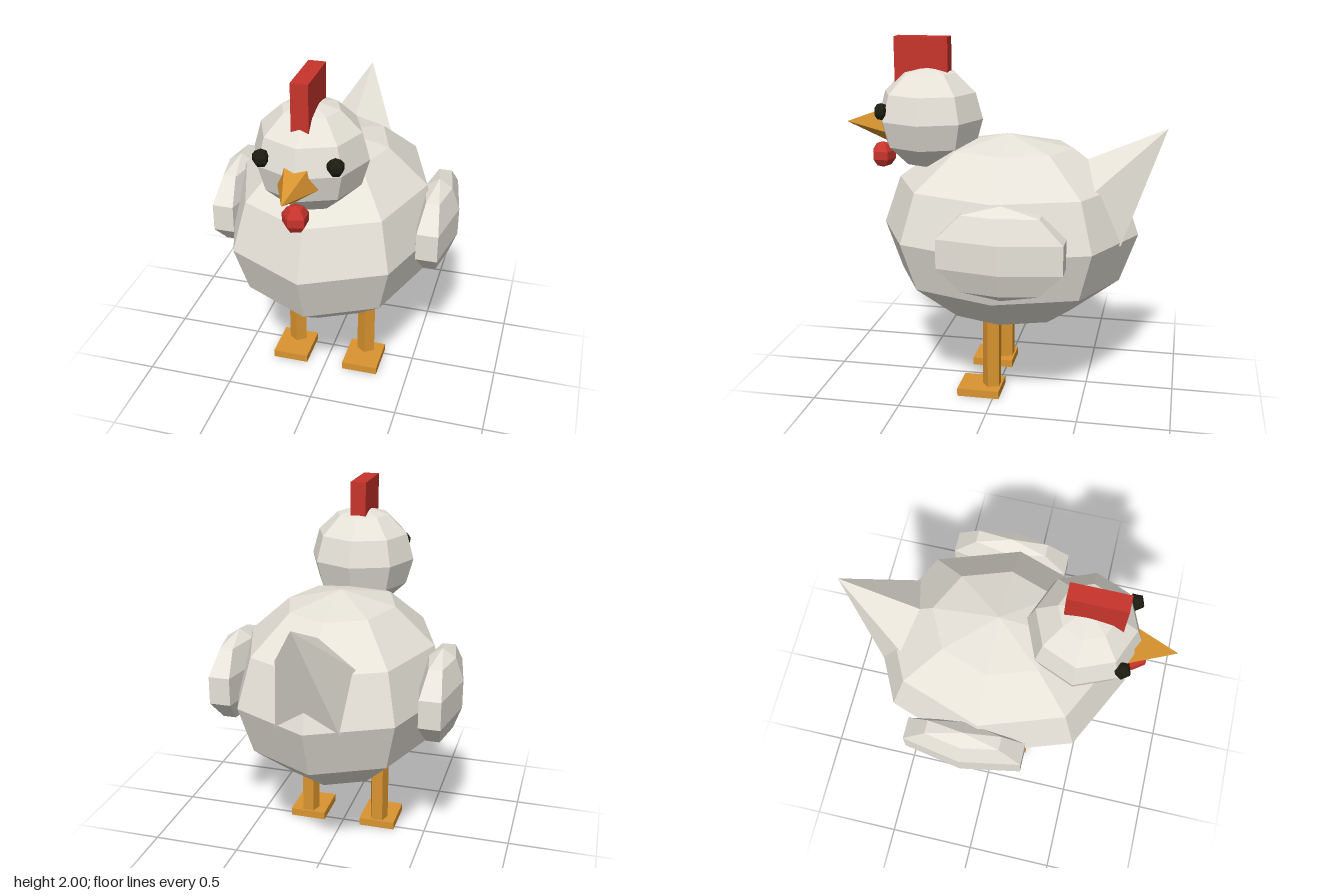
import * as THREE from 'three';

function material(name, color) {
  const m = new THREE.MeshStandardMaterial({ color, flatShading: true });
  m.name = name;
  return m;
}

export function createModel() {
  const hen = new THREE.Group();
  hen.name = 'hen';
  const white = material('feather white', 0xe6e2d8);
  const red = material('comb red', 0xc8342c);
  const orange = material('beak orange', 0xd9942f);
  const black = material('eye black', 0x1c1c10);

  function add(name, geometry, mat, x, y, z, tilt = 0) {
    const mesh = new THREE.Mesh(geometry, mat);
    mesh.name = name;
    mesh.position.set(x, y, z);
    mesh.rotation.x = tilt;
    hen.add(mesh);
    return mesh;
  }
  const ellipsoid = (rx, ry, rz, around, high) =>
    new THREE.SphereGeometry(1, around, high).scale(rx, ry, rz);

  // Body and head
  add('body', ellipsoid(0.61, 0.55, 0.735, 8, 6), white, 0, 0.925, -0.035);
  add('head', ellipsoid(0.305, 0.292, 0.302, 8, 6), white, 0, 1.55, 0.415);

  // Tail: five-sided cone leaning back, its base sunk in the body
  add('tail', new THREE.ConeGeometry(0.298, 0.62, 5), white, 0, 1.296, -0.706, -0.716);

  // Face
  add('comb', new THREE.BoxGeometry(0.09, 0.3, 0.305), red, 0, 1.85, 0.453);
  add('beak', new THREE.ConeGeometry(0.13, 0.3, 5), orange, 0, 1.51, 0.76, Math.PI / 2);
  add('wattle', ellipsoid(0.075, 0.075, 0.075, 5, 5), red, 0, 1.325, 0.7);

  // Mirrored parts
  for (const [side, s] of [['left', 1], ['right', -1]]) {
    add(`${side} eye`, ellipsoid(0.048, 0.047, 0.047, 5, 5), black, s * 0.19, 1.605, 0.643);
    add(`${side} wing`, ellipsoid(0.126, 0.256, 0.402, 6, 5), white, s * 0.585, 0.957, -0.1);
    add(`${side} leg`, new THREE.CylinderGeometry(0.055, 0.055, 0.45, 5), orange, s * 0.215, 0.255, 0.02);
    add(`${side} foot`, new THREE.BoxGeometry(0.21, 0.045, 0.24), orange, s * 0.215, 0.0225, 0.085);
  }
  return hen;
}
